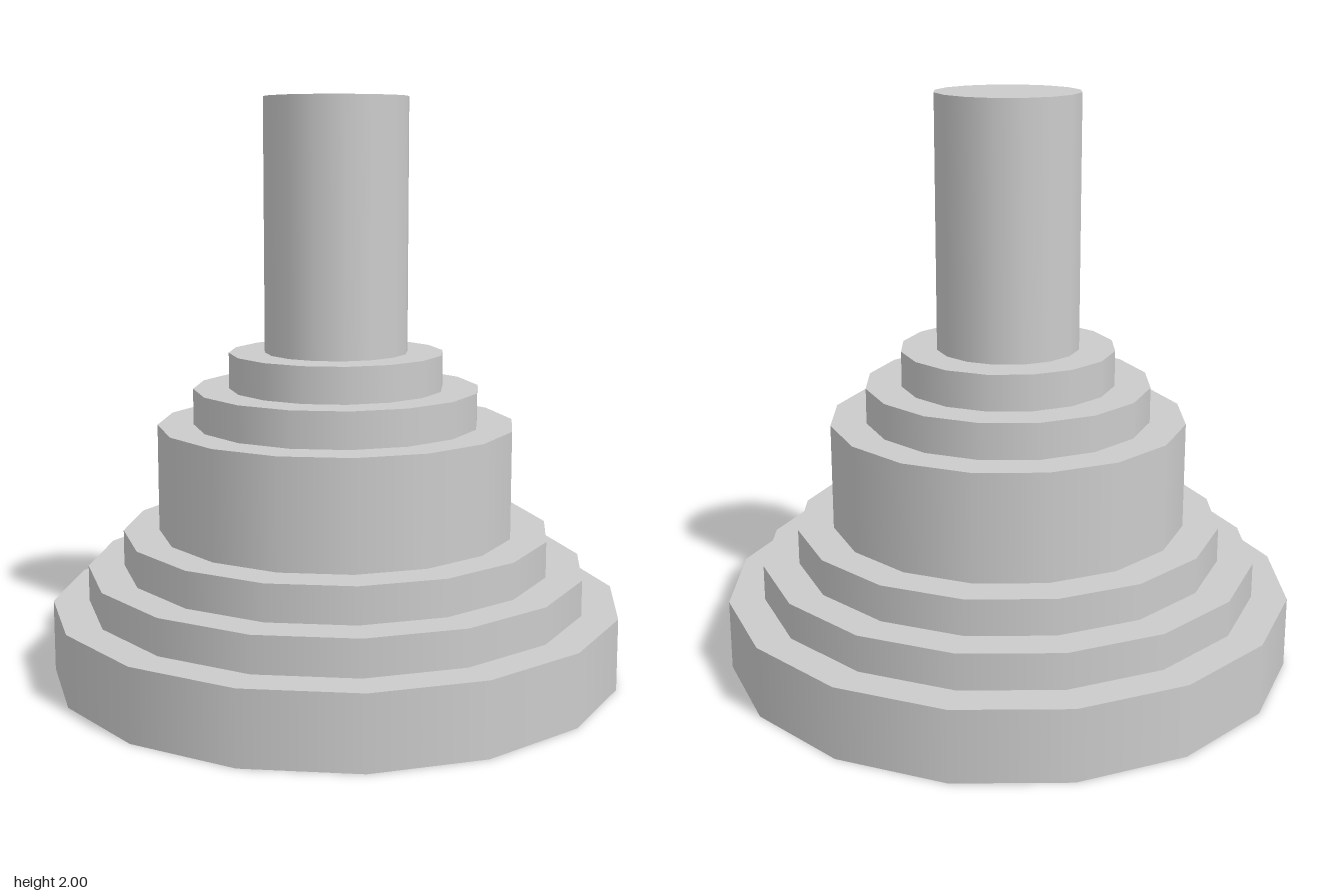
import * as THREE from 'three';

// Stacked round tiers, bottom to top: name, radius, height of the top face
const TIERS = [
  ['base', 1, 0.25],
  ['lowerStep', 0.875, 0.375],
  ['middleStep', 0.75, 0.5],
  ['drum', 0.625, 0.875],
  ['upperStep', 0.5, 1],
  ['collar', 0.375, 1.125],
  ['post', 0.25, 2],
];
const SIDES = 16;

export function createModel() {
  const group = new THREE.Group();
  group.name = 'steppedPedestal';
  const material = new THREE.MeshStandardMaterial({ color: 0xcccccc });

  // Each tier stands on the one below; sides are smooth, caps are flat
  let bottom = 0;
  for (const [name, radius, top] of TIERS) {
    const height = top - bottom;
    const tier = new THREE.Mesh(new THREE.CylinderGeometry(radius, radius, height, SIDES), material);
    tier.name = name;
    tier.position.y = bottom + height / 2;
    group.add(tier);
    bottom = top;
  }
  return group;
}
